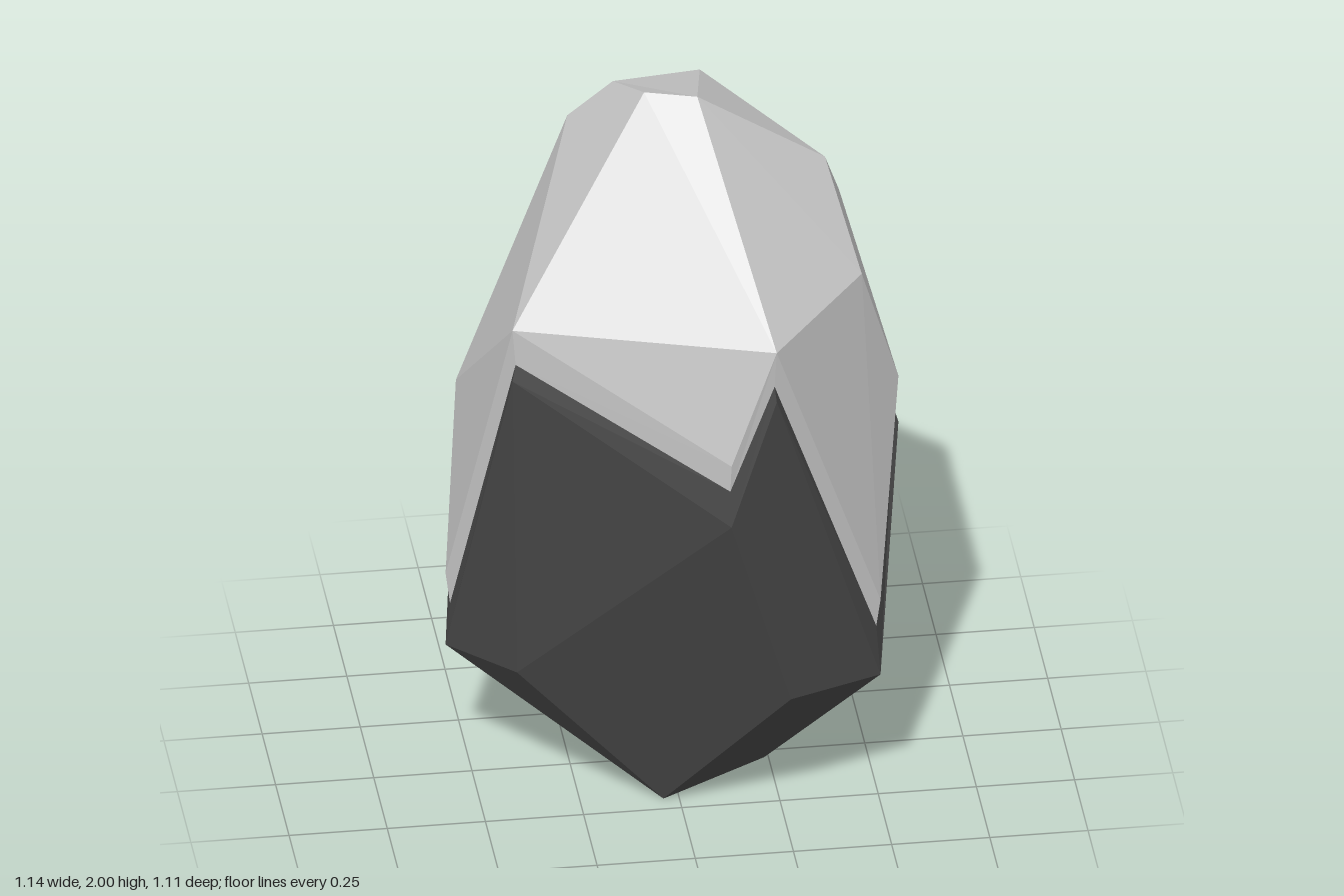
import * as THREE from 'three';

// Zigzag seam, one entry per corner: x, z, upper rim y, groove y, lower rim y
const seam = {
  T: [0.2, 0.555, 1.505, 1.4, 1.36],
  S: [0.085, 0.555, 1.18, 1.1, 1.0],
  V: [-0.44, 0.315, 1.48, 1.375, 1.33],
  L: [-0.57, 0.02, 0.6, 0.51, 0.39],
  I: [-0.515, -0.19, 1.04, 0.97, 0.93],
  J: [-0.32, -0.455, 1.05, 0.97, 0.93],
  K: [-0.155, -0.555, 0.63, 0.54, 0.395],
  H: [0.2, -0.535, 1.475, 1.38, 1.34],
  Q: [0.43, -0.41, 0.79, 0.75, 0.67],
  P: [0.53, -0.26, 0.79, 0.75, 0.67],
  R: [0.57, 0.115, 1.145, 1.05, 1.01],
  N: [0.495, 0.33, 0.62, 0.54, 0.4],
};

// Corners of the crown above the seam
const crown = {
  A: [-0.07, 2, 0.06], B: [0.06, 2, 0.1], C: [0.4, 1.73, -0.01],
  D: [0.11, 1.885, -0.22], E: [-0.125, 1.93, -0.12], F: [-0.23, 1.79, -0.2],
  G: [-0.12, 1.5, -0.48], W: [0.465, 1.5, -0.225], X: [0.465, 1.505, 0.2],
};
const crownFaces = ['BCDEA', 'ABTV', 'BCXT', 'CXRW', 'CWHD', 'EDHGF', 'FVAE',
  'FIV', 'FGJI', 'GHKJ', 'WRPQH', 'XTNR', 'VST', 'VLI'];

// Corners of the base below the seam
const base = {
  M: [0.255, 0.4, 0.42], O: [0.485, 0.385, -0.165], Y: [-0.41, 0.39, 0.18],
  Z: [-0.04, 0, 0.2], a: [0.23, 0.04, 0.1], b: [0.25, 0.035, -0.205],
  p: [0.35, 0.22, -0.265], q: [-0.01, 0.04, -0.21],
};
const baseFaces = ['SVYZM', 'STNM', 'MNaZ', 'YLV', 'YLZ', 'LIJK', 'LKqZ',
  'pKHQPO', 'pbqK', 'OPRN', 'ONabp', 'Zabq'];

// Points of one seam level, optionally drawn inwards
function ring(level, inset = 1) {
  const points = {};
  for (const key in seam) {
    const s = seam[key];
    points[key] = [s[0] * inset, s[level], s[1] * inset];
  }
  return points;
}

// Fans each lettered polygon into triangles that face away from the centre
function addFaces(out, faces, points) {
  const centre = new THREE.Vector3(0, 1, 0);
  for (const face of faces) {
    const v = [...face].map((k) => new THREE.Vector3(...points[k]));
    for (let i = 1; i < v.length - 1; i++) {
      const tri = new THREE.Triangle(v[0], v[i], v[i + 1]);
      const mid = tri.getMidpoint(new THREE.Vector3()).sub(centre);
      const outward = tri.getNormal(new THREE.Vector3()).dot(mid) > 0;
      const order = outward ? [v[0], v[i], v[i + 1]] : [v[0], v[i + 1], v[i]];
      order.forEach((p) => out.push(p.x, p.y, p.z));
    }
  }
}

// Bevel strip joining two seam levels
function addStrip(out, top, bottom) {
  const keys = Object.keys(seam);
  keys.forEach((k, i) => {
    const n = keys[(i + 1) % keys.length];
    out.push(...top[k], ...top[n], ...bottom[n], ...top[k], ...bottom[n], ...bottom[k]);
  });
}

function makeShell(name, color, faces, corners, rim, stripTop, stripBottom) {
  const out = [];
  addFaces(out, faces, { ...corners, ...rim });
  addStrip(out, stripTop, stripBottom);
  const geometry = new THREE.BufferGeometry();
  geometry.setAttribute('position', new THREE.Float32BufferAttribute(out, 3));
  geometry.computeVertexNormals();
  const mesh = new THREE.Mesh(geometry, new THREE.MeshStandardMaterial({ color, flatShading: true }));
  mesh.name = name;
  return mesh;
}

export function createModel() {
  const group = new THREE.Group();
  group.name = 'facetedCrystal';
  const upper = ring(2), groove = ring(3, 0.98), lower = ring(4);
  group.add(makeShell('crystalCrown', 0xcccccc, crownFaces, crown, upper, upper, groove));
  group.add(makeShell('crystalBase', 0x484848, baseFaces, base, lower, groove, lower));
  return group;
}
